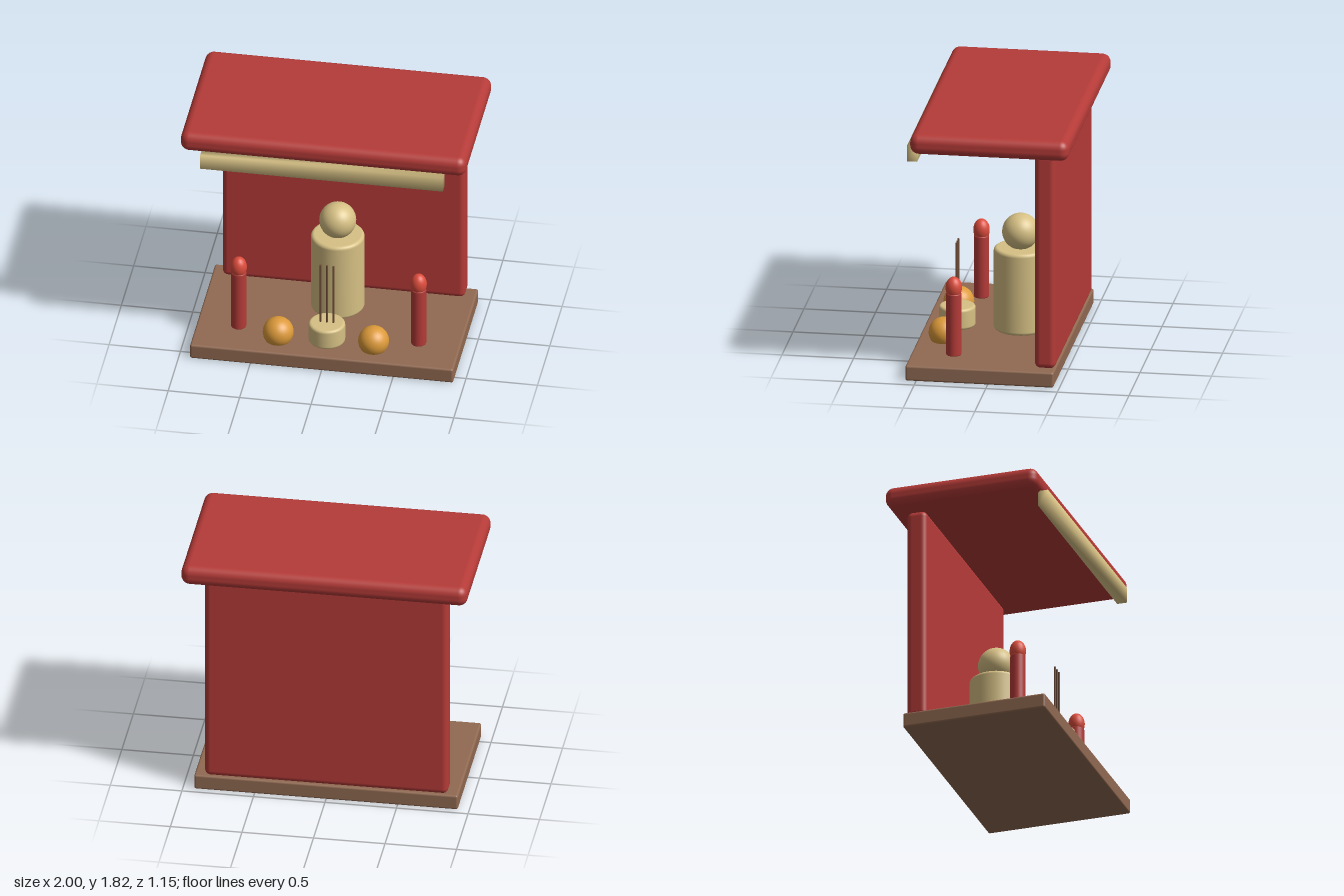
import * as THREE from 'three';
import { mergeVertices } from 'three/addons/utils/BufferGeometryUtils.js';
import { RoundedBoxGeometry } from 'three/addons/geometries/RoundedBoxGeometry.js';

const material = (name, color) => {
  const m = new THREE.MeshStandardMaterial({ color });
  m.name = name;
  return m;
};

// Rounded slab given by its extents
function slab(x, y0, y1, z0, z1, radius) {
  return new RoundedBoxGeometry(2 * x, y1 - y0, z1 - z0, 4, radius)
    .translate(0, (y0 + y1) / 2, (z0 + z1) / 2);
}

// Upright cylinder with softened rims, standing on y = 0
function softCylinder(r, h, bevel) {
  const pts = [new THREE.Vector2(0, 0)];
  for (let i = 0; i <= 4; i++) {
    const a = (i / 4) * Math.PI / 2;
    pts.push(new THREE.Vector2(r - bevel + bevel * Math.sin(a), bevel - bevel * Math.cos(a)));
  }
  for (let i = 0; i <= 4; i++) {
    const a = (i / 4) * Math.PI / 2;
    pts.push(new THREE.Vector2(r - bevel + bevel * Math.cos(a), h - bevel + bevel * Math.sin(a)));
  }
  pts.push(new THREE.Vector2(0, h));
  return new THREE.LatheGeometry(pts, 40);
}

export function createModel() {
  const red = material('red lacquer', 0xb53b38);
  const wood = material('brown wood', 0x916a52);
  const gold = material('pale gold', 0xd6c084);
  const orange = material('orange', 0xdc9a3a);
  const flameRed = material('flame red', 0xdc4c3c);
  const dark = material('dark incense', 0x6e4b36);

  const group = new THREE.Group();
  group.name = 'shrine';
  const add = (name, geometry, mat, x = 0, y = 0, z = 0) => {
    const mesh = new THREE.Mesh(geometry, mat);
    mesh.name = name;
    mesh.position.set(x, y, z);
    group.add(mesh);
    return mesh;
  };
  const floor = 0.11;

  // Structure
  add('base', slab(0.922, 0, floor, -0.46, 0.575, 0.015), wood);
  add('backWall', slab(0.85, floor, 1.67, -0.46, -0.315, 0.04), red);
  add('roof', slab(1, 1.67, 1.815, -0.573, 0.536, 0.06), red);

  // Front valance, softly shaded across its edges
  let beam = new THREE.BoxGeometry(1.7, 0.11, 0.073);
  beam.deleteAttribute('uv');
  beam.deleteAttribute('normal');
  beam = mergeVertices(beam);
  beam.computeVertexNormals();
  add('valance', beam, gold, 0, 1.632, 0.538);

  // Statue
  add('statueBody', softCylinder(0.186, 0.595, 0.025), gold, 0, floor, -0.09);
  add('statueHead', new THREE.SphereGeometry(0.128, 32, 24), gold, 0, 0.817, -0.09);

  // Incense bowl and sticks
  add('incenseBowl', softCylinder(0.127, 0.15, 0.02), gold, 0, floor, 0.352);
  for (const x of [-0.045, 0, 0.045]) {
    add('incenseStick', new THREE.CylinderGeometry(0.007, 0.007, 0.5, 10), dark, x, 0.475, 0.352);
  }

  // Candles and fruit on both sides
  for (const side of [-1, 1]) {
    add('candle', softCylinder(0.053, 0.45, 0.008), red, side * 0.63, floor, 0.28);
    add('flame', new THREE.SphereGeometry(0.057, 24, 18), flameRed, side * 0.63, 0.598, 0.28)
      .scale.y = 1.37;
    add('fruit', new THREE.SphereGeometry(0.107, 32, 24), orange, side * 0.334, 0.17, 0.393);
  }
  return group;
}
